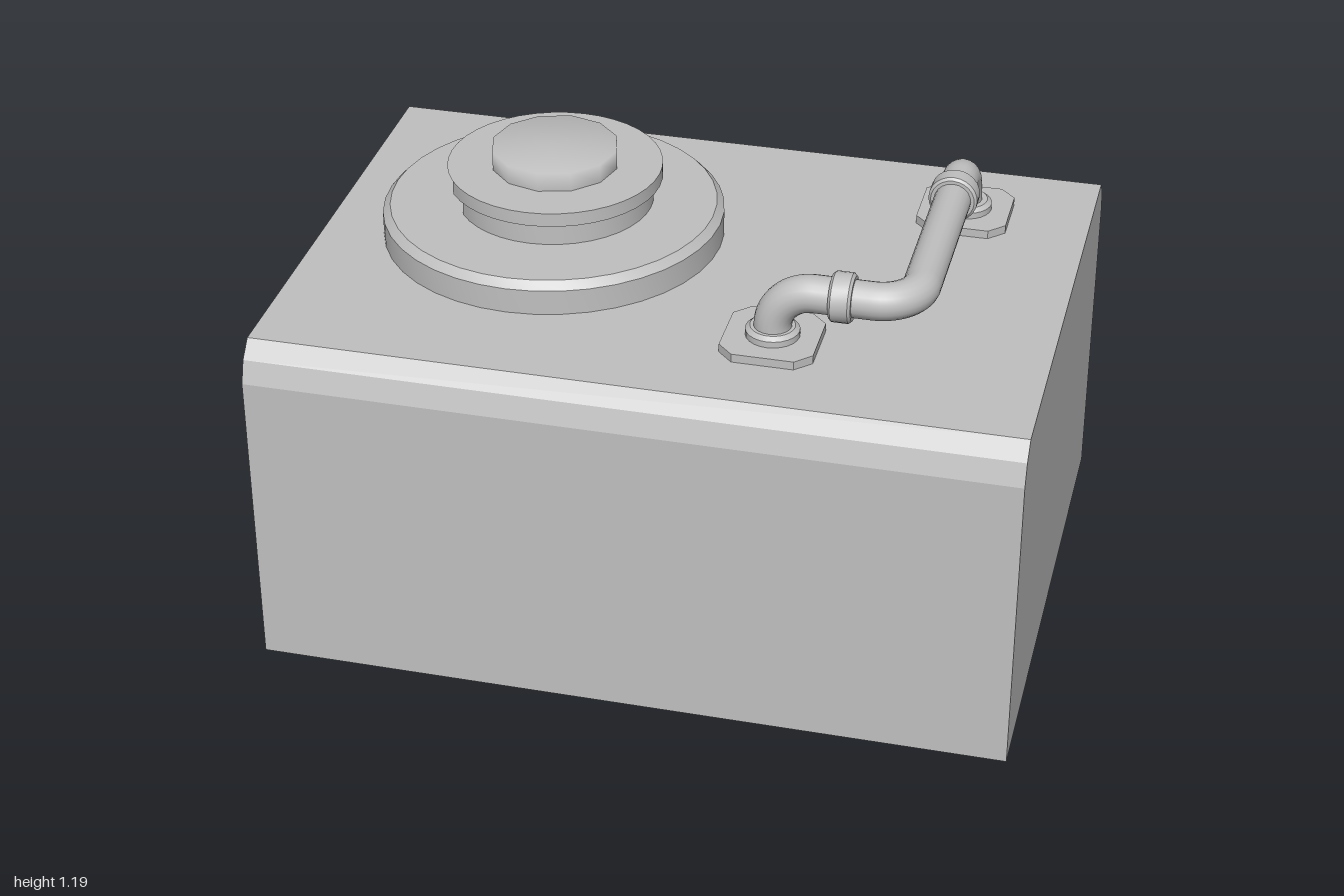
import * as THREE from 'three';
import { toCreasedNormals } from 'three/addons/utils/BufferGeometryUtils.js';

const grey = new THREE.MeshStandardMaterial({ color: 0xc0c0c0, side: THREE.DoubleSide });
grey.name = 'plain grey';

const TOP = 0.943;
const V = (x, y, z) => new THREE.Vector3(x, y, z);

function add(parent, name, geometry, x = 0, y = 0, z = 0) {
  const mesh = new THREE.Mesh(geometry, grey);
  mesh.name = name;
  mesh.position.set(x, y, z);
  parent.add(mesh);
  return mesh;
}

// Turned part from [radius, height] pairs listed bottom to top, with sharp edges
function turned(profile, sides, start = 0, sweep = Math.PI * 2) {
  const points = profile.map(([r, y]) => new THREE.Vector2(r, y));
  return toCreasedNormals(new THREE.LatheGeometry(points, sides, start, sweep), 0.5);
}

// Hollow housing, open underneath, with two-step chamfers along front and back
function housing() {
  const group = new THREE.Group();
  group.name = 'housing';
  const half = [[0.72, 0], [0.72, 0.84], [0.70, 0.9], [0.66, TOP]];
  const outline = [...half, ...half.slice().reverse().map(([z, y]) => [-z, y])];

  const skin = [];
  for (let i = 0; i < outline.length - 1; i++) {
    const [z0, y0] = outline[i], [z1, y1] = outline[i + 1];
    skin.push(-1, y0, z0, 1, y0, z0, 1, y1, z1, -1, y0, z0, 1, y1, z1, -1, y1, z1);
  }
  const geometry = new THREE.BufferGeometry();
  geometry.setAttribute('position', new THREE.Float32BufferAttribute(skin, 3));
  geometry.computeVertexNormals();
  add(group, 'housingSkin', geometry);

  const shape = new THREE.Shape(outline.map(([z, y]) => new THREE.Vector2(z, y)));
  for (const side of [-1, 1]) {
    const wall = add(group, side > 0 ? 'leftEndWall' : 'rightEndWall', new THREE.ShapeGeometry(shape), side);
    wall.rotation.y = side * Math.PI / 2;
  }
  return group;
}

// Round hatch: bevelled base, neck and flange with a gap on one side, low cap
function hatch() {
  const group = new THREE.Group();
  group.name = 'hatch';
  add(group, 'hatchBase', turned([[0.457, TOP], [0.457, 1.012], [0.437, 1.033], [0, 1.033]], 40), -0.398, 0, -0.073);
  const collar = new THREE.Group();
  collar.name = 'hatchCollar';
  collar.position.set(-0.395, 0, -0.084);
  group.add(collar);
  const start = THREE.MathUtils.degToRad(306), sweep = THREE.MathUtils.degToRad(288);
  add(collar, 'neckAndRim', turned([[0.262, 1.033], [0.262, 1.1], [0.287, 1.1], [0.287, 1.138]], 32, start, sweep));
  add(collar, 'rimTop', turned([[0.287, 1.138], [0, 1.1385]], 40));
  const cap = [[0.17, 1.138], [0.17, 1.19], [0, 1.19]].map(([r, y]) => new THREE.Vector2(r, y));
  add(collar, 'cap', new THREE.LatheGeometry(cap, 12));
  return group;
}

// Square plate with clipped corners and a round collar where the pipe lands
function pipeFoot(x, z) {
  const group = new THREE.Group();
  group.name = 'pipeFoot';
  group.position.set(x, TOP, z);
  const a = 0.121, b = 0.08;
  const corners = [[a, -b], [a, b], [b, a], [-b, a], [-a, b], [-a, -b], [-b, -a], [b, -a]];
  const shape = new THREE.Shape(corners.map(([u, v]) => new THREE.Vector2(u, v)));
  const plate = new THREE.ExtrudeGeometry(shape, { depth: 0.023, bevelEnabled: false });
  plate.rotateX(-Math.PI / 2);
  add(group, 'footPlate', plate);
  add(group, 'footCollar', turned([[0.07, 0.02], [0.07, 0.04], [0.058, 0.05], [0.04, 0.05]], 24));
  return group;
}

// Pipe path with a rounded bend at each inner corner
function bentPath(corners, radius) {
  const path = new THREE.CurvePath();
  let from = corners[0];
  for (let i = 1; i < corners.length - 1; i++) {
    const c = corners[i];
    const inDir = c.clone().sub(corners[i - 1]).normalize();
    const outDir = corners[i + 1].clone().sub(c).normalize();
    const p = c.clone().addScaledVector(inDir, -radius);
    const q = c.clone().addScaledVector(outDir, radius);
    const k = radius * 0.5523;
    path.add(new THREE.LineCurve3(from, p));
    path.add(new THREE.CubicBezierCurve3(p, p.clone().addScaledVector(inDir, k), q.clone().addScaledVector(outDir, -k), q));
    from = q;
  }
  path.add(new THREE.LineCurve3(from, corners[corners.length - 1]));
  return path;
}

function pipework() {
  const group = new THREE.Group();
  group.name = 'pipework';
  const y = 1.098, x0 = 0.298, x1 = 0.657, z0 = 0.364, z1 = -0.408;
  const path = bentPath([V(x0, TOP, z0), V(x0, y, z0), V(x1, y, z0), V(x1, y, z1), V(x1, TOP, z1)], 0.105);
  add(group, 'pipe', new THREE.TubeGeometry(path, 120, 0.049, 20));
  group.add(pipeFoot(x0, z0), pipeFoot(x1 + 0.006, z1));

  // Coupling rings around the straight runs
  const ring = turned([[0.045, -0.029], [0.058, -0.029], [0.065, -0.022], [0.065, 0.022], [0.058, 0.029], [0.045, 0.029]], 24);
  add(group, 'frontCoupling', ring, 0.476, y, z0).rotation.z = Math.PI / 2;
  add(group, 'backCoupling', ring, x1, y, -0.222).rotation.x = Math.PI / 2;
  return group;
}

export function createModel() {
  const model = new THREE.Group();
  model.name = 'rooftopUnit';
  model.add(housing(), hatch(), pipework());
  return model;
}
